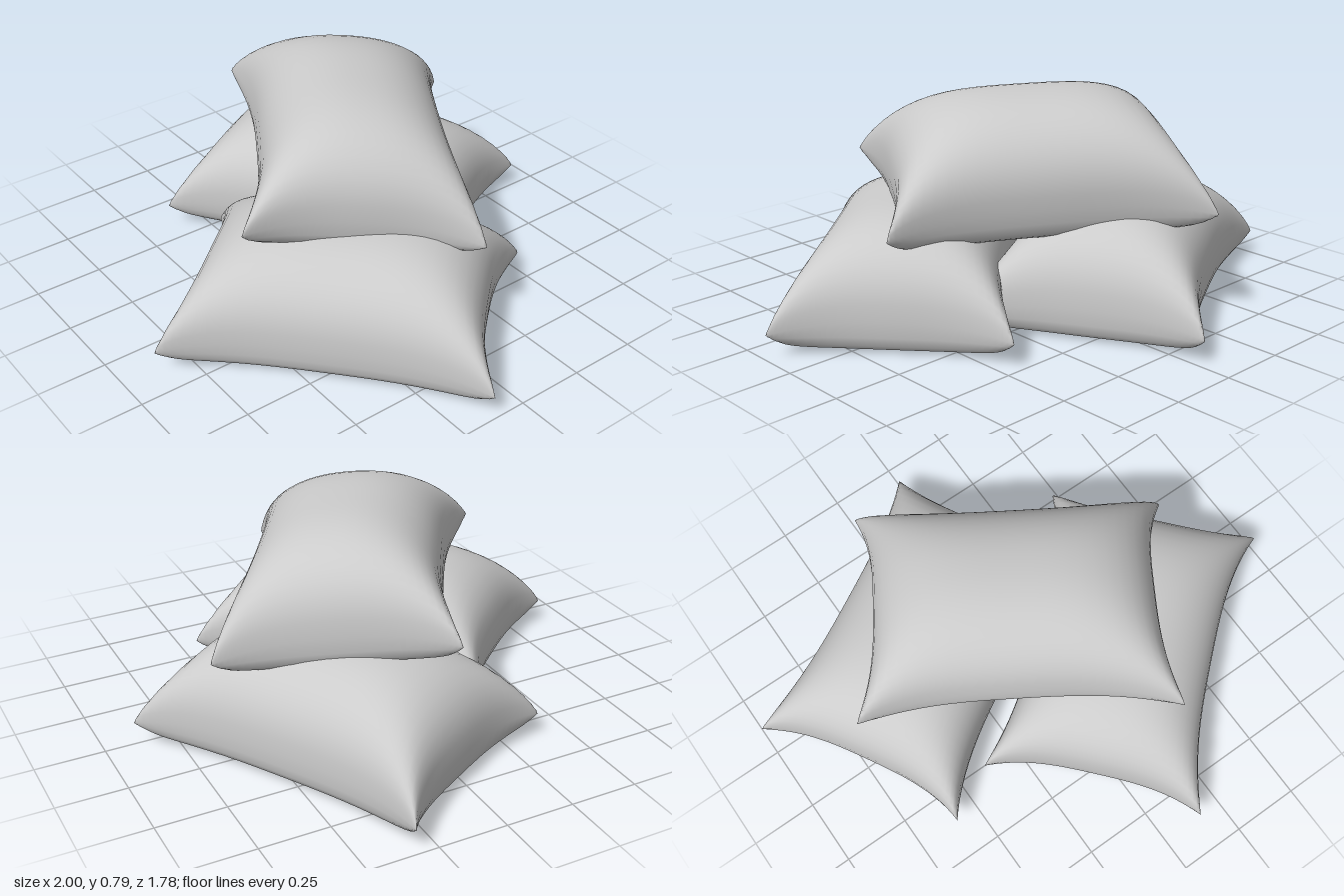
import * as THREE from 'three';
import { mergeVertices } from 'three/addons/utils/BufferGeometryUtils.js';

const HALF_LENGTH = 0.57, HALF_WIDTH = 0.41, HEIGHT = 0.428;
// how far the short and long edges curve in between the corners
const END_INSET = 0.067, SIDE_INSET = 0.075;
const SLICES = 28, AROUND = 56;

const bulge = (t, power) => Math.max(0, 1 - Math.pow(Math.abs(t), power));

// One stuffed cushion: domed top with a broad crown, flat underside, pinched corners
function cushionPoint(i, j) {
  const u = Math.sin((i / SLICES - 0.5) * Math.PI);
  const angle = (j / AROUND) * Math.PI * 2;
  const v = Math.cos(angle);
  const x = u * (HALF_LENGTH - END_INSET * bulge(v, 3));
  const z = v * (HALF_WIDTH - SIDE_INSET * bulge(u, 3));
  const fu = bulge(u, 3.4), fv = bulge(v, 2.3);
  const fill = fu * fv;
  const seam = 0.09 + 0.03 * Math.max(fu, fv) * (1 - fill);
  const y = j <= AROUND / 2
    ? seam + (HEIGHT - seam) * Math.pow(fill, 0.41)
    : seam * Math.pow(1 - Math.sqrt(fill), 4);
  return [x, y, z];
}

function cushionGeometry() {
  const positions = [], index = [];
  for (let i = 0; i <= SLICES; i++) {
    for (let j = 0; j < AROUND; j++) positions.push(...cushionPoint(i, j));
  }
  for (let i = 0; i < SLICES; i++) {
    for (let j = 0; j < AROUND; j++) {
      const k = (j + 1) % AROUND;
      const a = i * AROUND + j, b = a + AROUND;
      const c = i * AROUND + k, d = c + AROUND;
      index.push(a, b, c, b, d, c);
    }
  }
  let geometry = new THREE.BufferGeometry();
  geometry.setAttribute('position', new THREE.Float32BufferAttribute(positions, 3));
  geometry.setIndex(index);
  geometry = mergeVertices(geometry, 1e-5);
  geometry.computeVertexNormals();
  return geometry;
}

export function createModel() {
  const group = new THREE.Group();
  const geometry = cushionGeometry();
  const material = new THREE.MeshStandardMaterial({ color: 0xcccccc });

  // Two cushions on the floor and one leaning across them
  const cushions = [
    { name: 'frontCushion', at: [0.302, 0, 0.2], turn: 0.723 },
    { name: 'backCushion', at: [-0.302, 0, -0.256], turn: 0.515 },
    { name: 'topCushion', at: [-0.03, 0.362, -0.052], turn: -0.551, tilt: -0.12, roll: -0.015 },
  ];
  for (const { name, at, turn, tilt = 0, roll = 0 } of cushions) {
    const cushion = new THREE.Mesh(geometry, material);
    cushion.name = name;
    cushion.position.set(...at);
    cushion.rotation.set(tilt, turn, roll, 'YXZ');
    group.add(cushion);
  }
  return group;
}
